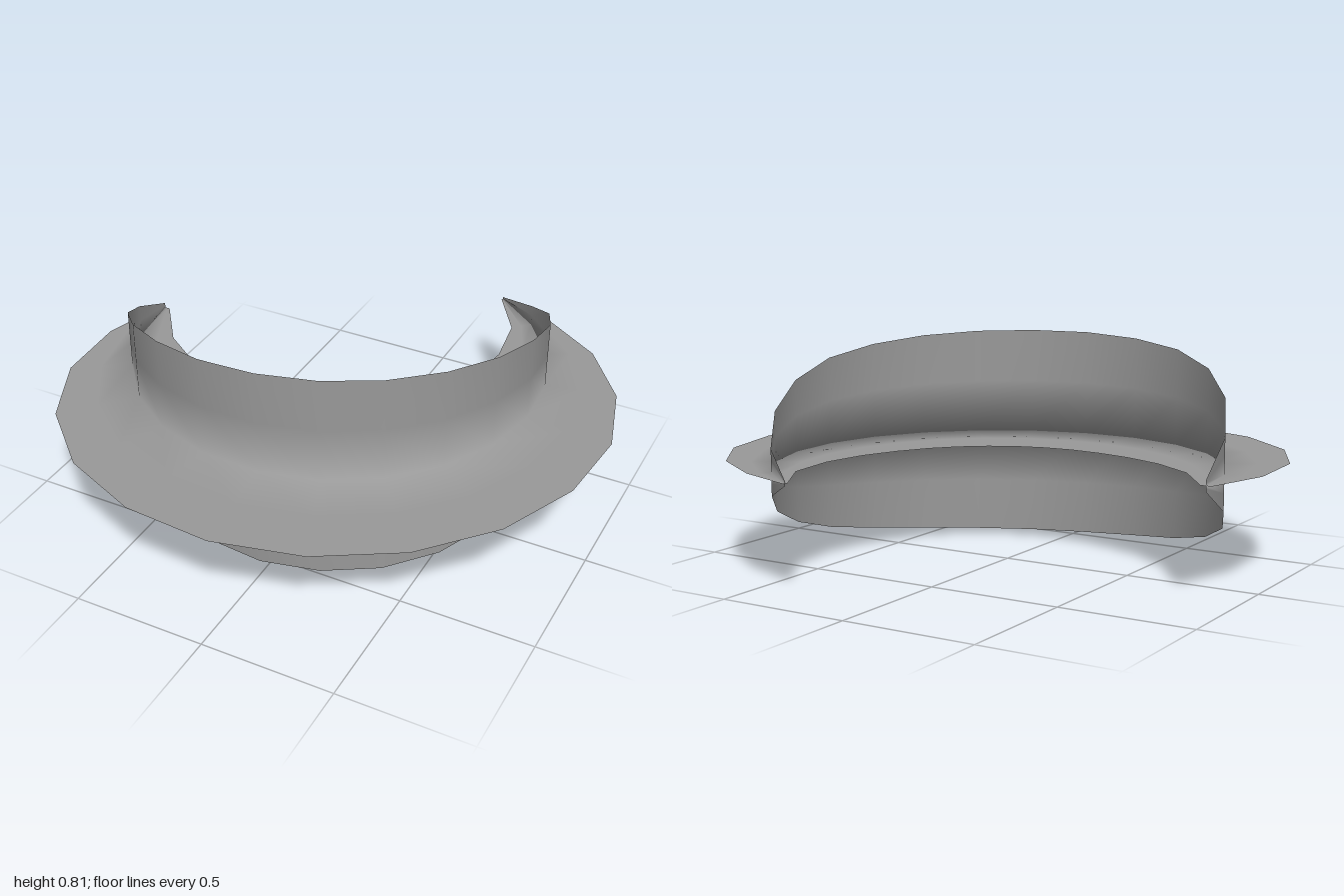
import * as THREE from 'three';

const CENTRE = new THREE.Vector3(-0.117, 0.405, -0.248);
const RADIUS = 0.792;
const START = Math.PI, SWEEP = THREE.MathUtils.degToRad(240);
// Half-width of both blades at each station along the arc
const SIZES = [0.02, 0.128, 0.233, 0.312, 0.362, 0.388, 0.402, 0.405,
  0.401, 0.388, 0.364, 0.327, 0.265, 0.181, 0.083, 0.008];

// Cross-shaped section as [radial, vertical] points; both blades share the spine point 2
const SECTION = [[1, 0], [0.5, 0], [0, 0], [-0.5, 0], [-1, 0], [0, -1], [0, -0.5], [0, 0.5], [0, 1]];
const BLADES = [
  [0, 1, 2, 3, 4], // flat blade, outer to inner
  [5, 6, 2, 7, 8], // upright blade, bottom to top
];

// Sweeps the crossed section along the arc; the shared spine blends the shading softly
function crossedBlades() {
  const pos = [], index = [], row = SECTION.length;
  SIZES.forEach((size, i) => {
    const a = START - SWEEP * i / (SIZES.length - 1);
    for (const [u, v] of SECTION) {
      const r = RADIUS + u * size;
      pos.push(CENTRE.x + r * Math.cos(a), CENTRE.y + v * size, CENTRE.z + r * Math.sin(a));
    }
    if (i === SIZES.length - 1) return;
    for (const blade of BLADES) {
      for (let k = 0; k < blade.length - 1; k++) {
        const p = i * row + blade[k], n = i * row + blade[k + 1];
        index.push(p, p + row, n, p + row, n + row, n);
      }
    }
  });
  const geo = new THREE.BufferGeometry();
  geo.setAttribute('position', new THREE.Float32BufferAttribute(pos, 3));
  geo.setIndex(index);
  geo.computeVertexNormals();
  return geo;
}

export function createModel() {
  const model = new THREE.Group();
  model.name = 'bladedCrescent';

  // Thin flat and upright crescents crossing along one curved spine
  const blades = new THREE.Mesh(
    crossedBlades(),
    new THREE.MeshStandardMaterial({ color: 0x999999, side: THREE.DoubleSide }),
  );
  blades.name = 'crossedBlades';
  model.add(blades);
  return model;
}
